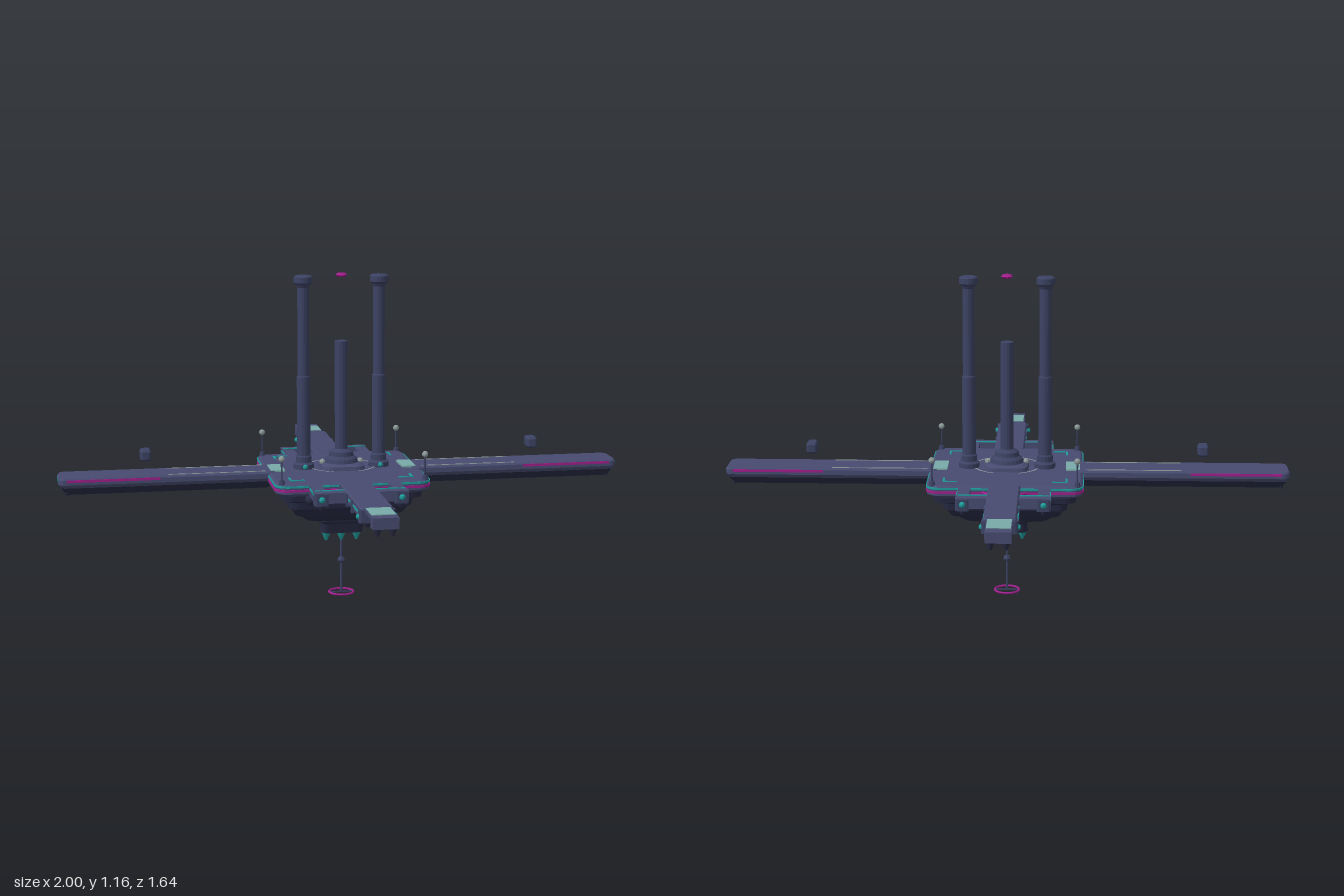
import * as THREE from 'three';

const mat = (name, color, side = THREE.FrontSide) => {
  const m = new THREE.MeshStandardMaterial({ color, side, flatShading: true });
  m.name = name;
  return m;
};

// Stack of rounded rectangles, bottom to top: [y, halfX, halfZ, cornerRadius]
function stackGeometry(layers) {
  const rings = layers.map(([y, hx, hz, r]) => {
    const pts = [];
    [[1, 1], [-1, 1], [-1, -1], [1, -1]].forEach(([sx, sz], q) => {
      for (let k = 0; k < 5; k++) {
        const a = (q + k / 4) * Math.PI / 2;
        pts.push([sx * (hx - r) + r * Math.cos(a), y, sz * (hz - r) + r * Math.sin(a)]);
      }
    });
    return pts;
  });
  const pos = [], tri = (...p) => p.forEach(v => pos.push(...v));
  const n = rings[0].length, last = rings.length - 1;
  for (let i = 0; i < n; i++) {
    const j = (i + 1) % n;
    for (let l = 0; l < last; l++) {
      const b = rings[l], t = rings[l + 1];
      tri(b[i], t[i], t[j]);
      tri(b[i], t[j], b[j]);
    }
    tri([0, layers[0][0], 0], rings[0][i], rings[0][j]);
    tri([0, layers[last][0], 0], rings[last][j], rings[last][i]);
  }
  const g = new THREE.BufferGeometry();
  g.setAttribute('position', new THREE.Float32BufferAttribute(pos, 3));
  g.computeVertexNormals();
  return g;
}

export function createModel() {
  const root = new THREE.Group();
  root.name = 'skyStation';
  const plate = mat('slate plating', 0x474b70);
  const hullMat = mat('dark hull', 0x282b45);
  const metal = mat('column metal', 0x3c4263);
  const teal = mat('teal light', 0x1f9c9c);
  const glass = mat('pale teal panel', 0x78aaa8);
  const magenta = mat('magenta light', 0xa01f8c);
  const grey = mat('grey marking', 0x8d9a9a, THREE.DoubleSide);

  const add = (name, geo, m, x = 0, y = 0, z = 0, parent = root) => {
    const mesh = new THREE.Mesh(geo, m);
    mesh.name = name;
    mesh.position.set(x, y, z);
    parent.add(mesh);
    return mesh;
  };
  const box = (name, m, w, h, d, x, y, z, parent) => add(name, new THREE.BoxGeometry(w, h, d), m, x, y, z, parent);
  const stack = (name, m, layers, x, y, z, parent) => add(name, stackGeometry(layers), m, x, y, z, parent);
  const cyl = (name, m, rt, rb, y0, y1, x = 0, z = 0, parent = root, n = 12) =>
    add(name, new THREE.CylinderGeometry(rt, rb, y1 - y0, n), m, x, (y0 + y1) / 2, z, parent);
  const lathe = (name, m, pts, x, z, parent, n = 16) =>
    add(name, new THREE.LatheGeometry(pts.map(p => new THREE.Vector2(...p)), n), m, x, 0, z, parent);
  const sides = [1, -1];

  // Central deck with lit edge bands
  stack('deck', plate, [[0.425, 0.25, 0.25, 0.04], [0.437, 0.27, 0.27, 0.045], [0.466, 0.27, 0.27, 0.045], [0.472, 0.262, 0.262, 0.04]]);
  stack('deckTealBand', teal, [[0.459, 0.273, 0.273, 0.046], [0.466, 0.273, 0.273, 0.046]]);
  stack('deckMagentaBand', magenta, [[0.445, 0.273, 0.273, 0.046], [0.453, 0.273, 0.273, 0.046]]);

  // Stepped hull below the deck
  stack('hull', hullMat, [
    [0.305, 0.125, 0.125, 0.03], [0.312, 0.145, 0.145, 0.03], [0.335, 0.175, 0.175, 0.03],
    [0.34, 0.19, 0.19, 0.03], [0.365, 0.205, 0.205, 0.03], [0.37, 0.215, 0.215, 0.03],
    [0.395, 0.22, 0.22, 0.035], [0.405, 0.245, 0.245, 0.035], [0.43, 0.25, 0.25, 0.04]]);
  stack('hullNeck', hullMat, [[0.24, 0.07, 0.045, 0.015], [0.275, 0.075, 0.055, 0.02], [0.285, 0.08, 0.06, 0.02], [0.31, 0.08, 0.065, 0.02]]);
  for (const x of [-0.055, 0, 0.055]) {
    cyl('thrusterCollar', hullMat, 0.02, 0.02, 0.235, 0.25, x);
    cyl('thrusterCone', teal, 0.018, 0.004, 0.205, 0.236, x);
  }

  // Hanging probe
  cyl('probeRod', metal, 0.004, 0.004, 0.012, 0.24, 0, 0, root, 8);
  add('probeBead', new THREE.OctahedronGeometry(0.014, 1), metal, 0, 0.13, 0);
  add('probeRing', new THREE.TorusGeometry(0.044, 0.004, 6, 28), magenta, 0, 0.012, 0).rotation.x = Math.PI / 2;
  box('probeSpoke', metal, 0.086, 0.004, 0.005, 0, 0.012, 0);

  // Long side wings, each with lights
  for (const s of sides) {
    const wing = new THREE.Group();
    wing.name = s > 0 ? 'leftWing' : 'rightWing';
    root.add(wing);
    const cx = s * 0.62;
    stack('wingKeel', hullMat, [[0.415, 0.355, 0.04, 0.015], [0.442, 0.372, 0.064, 0.02]], cx, 0, 0, wing);
    stack('wingPlate', plate, [[0.44, 0.37, 0.06, 0.02], [0.453, 0.38, 0.068, 0.025], [0.47, 0.38, 0.068, 0.025], [0.476, 0.376, 0.064, 0.022]], cx, 0, 0, wing);
    box('wingTipLight', teal, 0.006, 0.007, 0.09, s * 0.998, 0.464, 0, wing);
    box('wingPanel', glass, 0.05, 0.006, 0.11, s * 0.235, 0.475, 0, wing);
    for (const t of sides) {
      box('wingEdgeLight', magenta, 0.32, 0.009, 0.008, s * 0.81, 0.467, t * 0.066, wing);
      box('wingLine', grey, 0.34, 0.004, 0.004, s * 0.45, 0.476, t * 0.053, wing);
      cyl('wingTipNub', hullMat, 0.012, 0.004, 0.412, 0.435, s * 0.97, t * 0.04, wing, 8);
    }
    // Small drone hovering above the wing
    stack('hoverPod', metal, [[0.52, 0.014, 0.022, 0.008], [0.527, 0.019, 0.028, 0.01], [0.553, 0.019, 0.028, 0.01], [0.56, 0.014, 0.022, 0.008]], s * 0.695, 0, 0, wing);
  }

  // Fore and aft docking arms
  for (const s of sides) {
    const arm = new THREE.Group();
    arm.name = s > 0 ? 'frontArm' : 'backArm';
    root.add(arm);
    stack('armBeam', plate, [[0.425, 0.042, 0.2, 0.01], [0.438, 0.055, 0.21, 0.012], [0.47, 0.055, 0.21, 0.012], [0.476, 0.05, 0.206, 0.01]], 0, 0, s * 0.46, arm);
    stack('armCollar', metal, [[0.425, 0.06, 0.017, 0.01], [0.468, 0.06, 0.017, 0.01]], 0, 0, s * 0.66, arm);
    box('armTongue', plate, 0.086, 0.012, 0.16, 0, 0.469, s * 0.74, arm);
    box('armPanel', glass, 0.08, 0.005, 0.1, 0, 0.475, s * 0.73, arm);
    box('armEnd', plate, 0.086, 0.036, 0.036, 0, 0.455, s * 0.8, arm);
    for (const t of sides) {
      cyl('armEndFoot', hullMat, 0.015, 0.006, 0.412, 0.44, t * 0.025, s * 0.8, arm, 8);
      cyl('armFoot', hullMat, 0.017, 0.006, 0.408, 0.43, t * 0.03, s * 0.655, arm, 8);
      add('armLamp', new THREE.SphereGeometry(0.01, 8, 6), teal, t * 0.059, 0.445, s * 0.66, arm);
      for (const z of [0.43, 0.525]) box('armRib', metal, 0.008, 0.044, 0.02, t * 0.055, 0.448, s * z, arm);
      box('armStripe', teal, 0.005, 0.005, 0.09, t * 0.056, 0.456, s * 0.59, arm);
      box('armStripeShort', teal, 0.005, 0.005, 0.035, t * 0.056, 0.456, s * 0.48, arm);
      // Side frame linking deck and arm
      box('frameRail', plate, 0.042, 0.036, 0.14, t * 0.137, 0.449, s * 0.335, arm);
      box('frameBar', plate, 0.11, 0.036, 0.042, t * 0.105, 0.45, s * 0.387, arm);
      stack('frameCorner', metal, [[0.424, 0.024, 0.024, 0.008], [0.464, 0.024, 0.024, 0.008]], t * 0.137, 0, s * 0.387, arm);
      box('frameLight', teal, 0.1, 0.006, 0.006, t * 0.105, 0.468, s * 0.372, arm);
      box('frameSideLight', teal, 0.005, 0.006, 0.1, t * 0.159, 0.46, s * 0.34, arm);
      cyl('frameFoot', hullMat, 0.016, 0.008, 0.408, 0.432, t * 0.137, s * 0.387, arm, 8);
      add('frameLamp', new THREE.SphereGeometry(0.011, 8, 6), teal, t * 0.137, 0.446, s * 0.41, arm);
    }
    // Round landing pad half tucked beneath the deck
    cyl('pad', plate, 0.092, 0.08, 0.43, 0.452, 0, s * 0.215, arm, 28);
    add('padRim', new THREE.TorusGeometry(0.093, 0.005, 6, 32), magenta, 0, 0.45, s * 0.215, arm).rotation.x = Math.PI / 2;
  }

  // Deck markings, corner antennas and belly pods
  for (const sx of sides) for (const sz of sides) {
    box('cornerMarkX', teal, 0.05, 0.004, 0.007, sx * 0.19, 0.473, sz * 0.213);
    box('cornerMarkZ', teal, 0.007, 0.004, 0.05, sx * 0.213, 0.473, sz * 0.19);
    cyl('antennaBase', metal, 0.008, 0.012, 0.468, 0.485, sx * 0.25, sz * 0.25, root, 8);
    cyl('antennaRod', metal, 0.0035, 0.0035, 0.48, 0.555, sx * 0.25, sz * 0.25, root, 6);
    add('antennaBall', new THREE.SphereGeometry(0.011, 10, 8), grey, sx * 0.25, 0.558, sz * 0.25);
    add('bellyPod', new THREE.SphereGeometry(0.02, 10, 8), hullMat, sx * 0.15, 0.412, sz * 0.25);
  }
  for (let i = 0; i < 4; i++) {
    const arc = add('deckArc', new THREE.RingGeometry(0.115, 0.121, 14, 1, i * Math.PI / 2 + 0.38, 0.8), grey, 0, 0.4775, 0);
    arc.rotation.x = -Math.PI / 2;
  }

  // Central pedestal and mast
  stack('pedestal', plate, [[0.47, 0.078, 0.078, 0.035], [0.485, 0.075, 0.075, 0.035], [0.492, 0.06, 0.06, 0.03]]);
  lathe('pedestalDome', metal, [[0.062, 0.485], [0.056, 0.505], [0.044, 0.515], [0.042, 0.53], [0.025, 0.54]], 0, 0, root, 20);
  cyl('mast', metal, 0.023, 0.023, 0.53, 0.925, 0, 0, root, 14);
  lathe('floatingBeacon', magenta, [[0, 1.149], [0.014, 1.15], [0.021, 1.157], [0.014, 1.164], [0, 1.165]], 0, 0, root, 12);

  // Twin towers
  for (const s of sides) {
    lathe('tower', metal, [
      [0.037, 0.47], [0.037, 0.488], [0.028, 0.495], [0.028, 0.515], [0.024, 0.52], [0.024, 0.8], [0.021, 0.805],
      [0.021, 1.115], [0.026, 1.125], [0.033, 1.132], [0.033, 1.152], [0.026, 1.157], [0, 1.157]], s * 0.135, 0, root);
    add('pedestalLamp', new THREE.SphereGeometry(0.011, 8, 6), grey, s * 0.068, 0.492, 0);
    add('towerLamp', new THREE.SphereGeometry(0.009, 8, 6), teal, s * 0.135, 0.482, 0.036);
  }
  return root;
}
